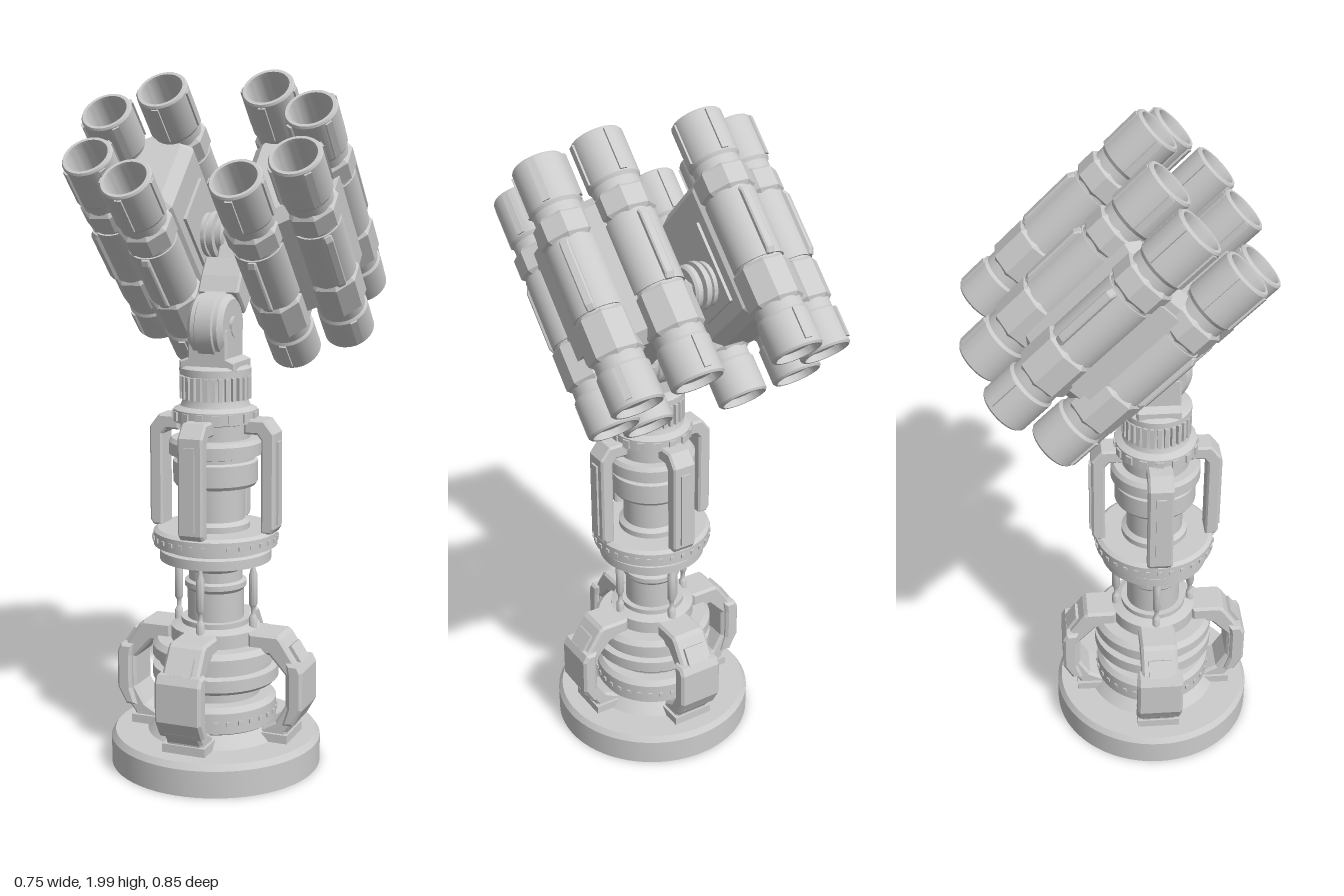
import * as THREE from 'three';
import { toCreasedNormals } from 'three/addons/utils/BufferGeometryUtils.js';

const material = new THREE.MeshStandardMaterial({ color: 0xcccccc });
const TILT = -Math.PI / 4;
const COLUMN_Z = 0.122;

function part(parent, name, geometry, x = 0, y = 0, z = 0) {
  const m = new THREE.Mesh(geometry, material);
  m.name = name;
  m.position.set(x, y, z);
  parent.add(m);
  return m;
}
const group = (parent, name) => {
  const g = new THREE.Group();
  g.name = name;
  parent.add(g);
  return g;
};
const box = (w, h, d) => new THREE.BoxGeometry(w, h, d);
const lathe = (pts, seg = 48) =>
  toCreasedNormals(new THREE.LatheGeometry(pts.map(p => new THREE.Vector2(p[0], p[1])), seg), 0.5);

// Closed outline extruded symmetrically about z = 0, with a small bevel inside the outline
function slab(pts, width, bevel = 0.006) {
  const shape = new THREE.Shape(pts.map(p => new THREE.Vector2(p[0], p[1])));
  const g = new THREE.ExtrudeGeometry(shape, {
    depth: width - 2 * bevel, bevelEnabled: true, bevelThickness: bevel,
    bevelSize: bevel, bevelOffset: -bevel, bevelSegments: 1,
  });
  return g.translate(0, 0, bevel - width / 2);
}
// Calls fn with a group turned to each of n directions about y
function around(parent, name, n, fn) {
  for (let i = 0; i < n; i++) {
    const g = group(parent, name);
    g.rotation.y = (i * 2 * Math.PI) / n;
    fn(g);
  }
}

function addColumn(root) {
  const col = group(root, 'column');
  col.position.z = COLUMN_Z;

  part(col, 'base', lathe([[0, 0], [0.308, 0], [0.308, 0.078], [0.296, 0.095], [0, 0.095]], 64));
  part(col, 'lowerColumn', lathe([
    [0.2, 0.095], [0.17, 0.13], [0.178, 0.135], [0.178, 0.195], [0.165, 0.21], [0.13, 0.21], [0.13, 0.25],
    [0.175, 0.25], [0.185, 0.26], [0.185, 0.295], [0.165, 0.3], [0.165, 0.32], [0.185, 0.325],
    [0.185, 0.355], [0.17, 0.37], [0.13, 0.37], [0.13, 0.41], [0.1, 0.42], [0.1, 0.435], [0.082, 0.435],
    [0.082, 0.52], [0.09, 0.53], [0.09, 0.545], [0.078, 0.55], [0.078, 0.58], [0.09, 0.59], [0.09, 0.61],
    [0.162, 0.61], [0.162, 0.638], [0.15, 0.643], [0.15, 0.655], [0.18, 0.655], [0.18, 0.695], [0.168, 0.703], [0, 0.703],
  ]));
  part(col, 'upperColumn', lathe([
    [0.1, 0.7], [0.1, 0.72], [0.085, 0.73], [0.085, 0.825], [0.115, 0.83], [0.122, 0.84], [0.122, 0.9],
    [0.112, 0.905], [0.112, 0.915], [0.134, 0.92], [0.134, 0.955], [0.125, 0.967], [0.1, 0.967], [0.1, 1.01],
    [0.12, 1.015], [0.12, 1.05], [0.1, 1.06], [0.092, 1.08], [0.092, 1.15], [0.103, 1.15], [0.103, 1.168], [0.09, 1.175], [0, 1.175],
  ]));

  // Bolt heads and the grip ring
  around(col, 'flangeBolt', 32, g => part(g, 'bolt', box(0.008, 0.012, 0.012), 0.18, 0.676));
  around(col, 'lowerBolt', 32, g => part(g, 'bolt', box(0.008, 0.012, 0.012), 0.178, 0.165));
  around(col, 'collarLug', 16, g => part(g, 'lug', box(0.012, 0.025, 0.022), 0.119, 1.033));
  around(col, 'gripRib', 30, g => part(g, 'rib', box(0.018, 0.065, 0.012), 0.094, 1.113));

  // Four bowed feet
  const foot = [[0.12, 0.35], [0.185, 0.35], [0.235, 0.295], [0.235, 0.205], [0.205, 0.155], [0.16, 0.13],
    [0.16, 0.09], [0.235, 0.09], [0.24, 0.125], [0.268, 0.16], [0.285, 0.205], [0.285, 0.305], [0.222, 0.4],
    [0.21, 0.41], [0.12, 0.41]];
  const footPlate = [[0.23, 0.15], [0.262, 0.15], [0.29, 0.2], [0.29, 0.312], [0.278, 0.335], [0.24, 0.335], [0.245, 0.3], [0.245, 0.2]];
  around(col, 'foot', 4, g => {
    part(g, 'footArm', slab(foot, 0.112, 0.008));
    part(g, 'footPlate', slab(footPlate, 0.14, 0.008));
    const pad = part(g, 'footPad', box(0.012, 0.055, 0.07), 0.257, 0.355);
    pad.rotation.z = 0.585;
    part(g, 'footToe', box(0.1, 0.03, 0.13), 0.195, 0.105);
  });

  // Four upper cage brackets
  const cage = [[0.1, 0.985], [0.14, 0.985], [0.152, 0.97], [0.152, 0.7], [0.182, 0.7], [0.192, 0.715],
    [0.192, 0.99], [0.162, 1.028], [0.1, 1.028]];
  around(col, 'cageBracket', 4, g => {
    part(g, 'cageArm', slab(cage, 0.075));
    part(g, 'cageRib', box(0.012, 0.24, 0.03), 0.192, 0.845);
  });

  // Four thin rods with thicker sleeves
  const rod = [[0, 0.4], [0.012, 0.4], [0.012, 0.44], [0.007, 0.45], [0.007, 0.47], [0.012, 0.48], [0.012, 0.57], [0.006, 0.59], [0.006, 0.62]];
  around(col, 'rod', 4, g => part(g, 'rodShaft', lathe(rod, 12), 0.117));

  // Knuckle seat and the elevation knuckle
  part(col, 'knuckleSeat', slab([[-0.085, 1.165], [0.085, 1.165], [0.085, 1.19], [0.06, 1.2], [0.06, 1.28], [-0.06, 1.28], [-0.06, 1.2], [-0.085, 1.19]], 0.13));
  const knuckle = [[0, -0.062], [0.03, -0.062], [0.03, -0.054], [0.078, -0.054], [0.092, -0.04], [0.092, -0.028],
    [0.098, -0.024], [0.098, 0.024], [0.092, 0.028], [0.092, 0.04], [0.078, 0.054], [0.03, 0.054], [0.03, 0.062], [0, 0.062]];
  part(col, 'knuckle', lathe(knuckle, 40), 0, 1.285).rotation.z = Math.PI / 2;
}

// One launch tube along +z, centred, with its ribs facing the given angle
function addTube(parent, x, y, angle) {
  const tube = group(parent, 'tube');
  tube.position.set(x, y, 0);
  const L = 0.3565, R = 0.074;
  const shell = lathe([
    [0, 0.02 - L], [0.06, 0.02 - L], [0.062, -L], [R - 0.005, -L], [R, 0.006 - L], [R, -0.25], [0.068, -0.242], [0.068, 0.215],
    [R, 0.225], [R, L - 0.006], [R - 0.004, L], [0.061, L], [0.059, L - 0.01], [0.059, 0.08], [0, 0.08],
  ], 36).rotateX(Math.PI / 2);
  part(tube, 'tubeShell', shell);

  // Two octagonal sleeves with a round band between them
  const oct = r => Array.from({ length: 8 }, (_, i) => {
    const a = (i + 0.5) * Math.PI / 4;
    return [r * Math.cos(a), r * Math.sin(a)];
  });
  part(tube, 'rearSleeve', slab(oct(0.08), 0.13, 0.012), 0, 0, -0.155);
  part(tube, 'frontSleeve', slab(oct(0.08), 0.08, 0.012), 0, 0, 0.155);
  part(tube, 'middleBand', new THREE.CylinderGeometry(0.073, 0.073, 0.2, 36).rotateX(Math.PI / 2), 0, 0, 0.012);

  // Raised rail on the outer side and cleats on both end caps
  const rail = group(tube, 'rails');
  rail.rotation.z = angle;
  const railShape = [[0.06, -0.1], [0.078, -0.1], [0.086, -0.085], [0.086, 0.085], [0.078, 0.1], [0.06, 0.1]];
  part(rail, 'sideRail', slab(railShape, 0.026, 0.004).rotateX(Math.PI / 2), 0, 0, 0.01);
  for (let i = 0; i < 4; i++) {
    const cleats = group(rail, 'cleats');
    cleats.rotation.z = i * Math.PI / 2;
    part(cleats, 'frontCleat', box(0.012, 0.02, 0.12), 0.073, 0, 0.288);
    if (i === 0) part(cleats, 'rearCleat', box(0.012, 0.02, 0.09), 0.073, 0, -0.295);
  }
}

function addPod(parent, side) {
  const pod = group(parent, side > 0 ? 'leftPod' : 'rightPod');
  // Faceted core that the four tubes are set into
  const core = [[0.095, -0.11], [0.15, -0.19], [0.2, -0.19], [0.32, -0.11], [0.34, -0.07],
    [0.34, 0.07], [0.32, 0.11], [0.2, 0.19], [0.15, 0.19], [0.095, 0.11]].map(p => [side * p[0], p[1]]);
  part(pod, 'podCore', slab(core, 0.42, 0.03));
  part(pod, 'outerPanel', box(0.03, 0.13, 0.32), side * 0.338, 0, 0);
  part(pod, 'innerPanel', box(0.02, 0.16, 0.24), side * 0.096, 0, -0.02);
  for (const v of [-1, 1]) {
    addTube(pod, side * 0.158, v * 0.172, v * Math.PI / 2);
    addTube(pod, side * 0.302, v * 0.087, side > 0 ? v * 0.9 : Math.PI - v * 0.9);
  }
  // Stacked trunnion discs between pod and arm
  const discs = [[0, 0.015], [0.06, 0.015], [0.066, 0.022], [0.066, 0.036], [0.052, 0.038], [0.052, 0.045], [0.07, 0.047],
    [0.07, 0.062], [0.056, 0.064], [0.056, 0.072], [0.064, 0.074], [0.064, 0.1], [0, 0.1]];
  part(pod, 'trunnion', lathe(discs, 36), 0, 0, -0.05).rotation.z = -side * Math.PI / 2;
}

function addLauncher(root) {
  const head = group(root, 'launcherHead');
  head.position.set(0, 1.57, 0);
  head.rotation.x = TILT;
  for (const side of [1, -1]) addPod(head, side);

  // Arm from the knuckle up to the trunnion, drawn in profile
  const arm = [[0.02, -0.03], [0.02, 0.02], [0.06, 0.05], [0.1, 0.02], [0.115, -0.06], [0.16, -0.2], [0.16, -0.29], [0.07, -0.29], [0.06, -0.18]];
  part(head, 'arm', slab(arm, 0.06).rotateY(Math.PI / 2));
  const block = [[0.035, -0.1], [0.12, -0.1], [0.15, -0.16], [0.15, -0.21], [0.06, -0.21], [0.045, -0.16]];
  part(head, 'armBlock', slab(block, 0.125).rotateY(Math.PI / 2));
}

export function createModel() {
  const root = new THREE.Group();
  root.name = 'launcherTurret';
  addColumn(root);
  addLauncher(root);
  return root;
}
